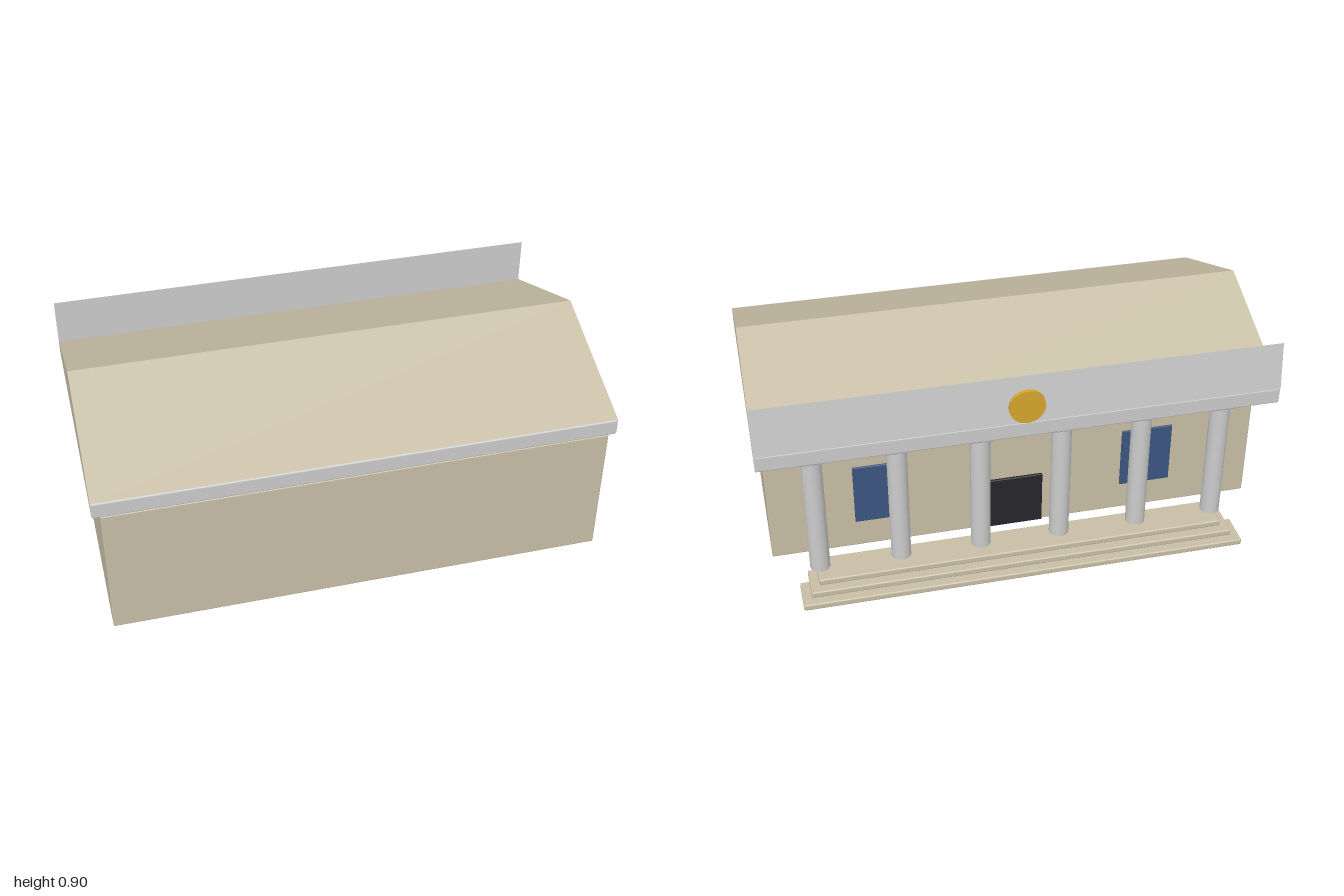
import * as THREE from 'three';
import { RoundedBoxGeometry } from 'three/addons/geometries/RoundedBoxGeometry.js';

const stone = new THREE.MeshStandardMaterial({ color: 0xc8bea6 });
const grey = new THREE.MeshStandardMaterial({ color: 0xcccccc });
const gold = new THREE.MeshStandardMaterial({ color: 0xd4a52e });
const glass = new THREE.MeshStandardMaterial({ color: 0x3a5580 });
const dark = new THREE.MeshStandardMaterial({ color: 0x25252b });

export function createModel() {
  const model = new THREE.Group();
  model.name = 'columnedHall';

  const add = (name, geometry, material, parent = model) => {
    const mesh = new THREE.Mesh(geometry, material);
    mesh.name = name;
    parent.add(mesh);
    return mesh;
  };

  // Softly bevelled block given by its extents on each axis
  const block = (name, [x0, x1], [y0, y1], [z0, z1], material, parent) => {
    const size = [x1 - x0, y1 - y0, z1 - z0];
    const bevel = Math.min(0.006, Math.min(...size) * 0.3);
    const mesh = add(name, new RoundedBoxGeometry(...size, 2, bevel), material, parent);
    mesh.position.set((x0 + x1) / 2, (y0 + y1) / 2, (z0 + z1) / 2);
    return mesh;
  };

  // Triangle of [z, y] points extruded along the full width
  const prism = (name, points, material) => {
    const shape = new THREE.Shape(points.map(([z, y]) => new THREE.Vector2(-z, y)));
    const geometry = new THREE.ExtrudeGeometry(shape, { depth: 2, bevelEnabled: false });
    geometry.translate(0, 0, -1).rotateY(Math.PI / 2);
    return add(name, geometry, material);
  };

  // Main hall, entablature and gable roof
  block('walls', [-0.97, 0.97], [0.08, 0.62], [-0.335, 0.582], stone);
  block('entablature', [-1, 1], [0.62, 0.685], [-0.503, 0.584], grey);
  prism('roof', [[0.58, 0.684], [-0.5, 0.684], [0.053, 0.9]], stone);

  // Thin wedge parapet above the colonnade, with a round gold emblem
  prism('parapet', [[-0.48, 0.684], [-0.503, 0.684], [-0.48, 0.876]], grey);
  const emblem = add('emblem', new THREE.CylinderGeometry(0.069, 0.069, 0.016, 32), gold);
  emblem.rotation.x = Math.PI / 2;
  emblem.position.set(0, 0.763, -0.513);

  // Three overlapping steps
  for (let i = 0; i < 3; i++) {
    const w = 0.88 - i * 0.035;
    const z = -0.583 + i * 0.035;
    const y = i * 0.027;
    block('step', [-w, w], [y, y + 0.026], [z, z + 0.138], stone);
  }

  // Six columns with square capitals
  for (let i = 0; i < 6; i++) {
    const column = new THREE.Group();
    column.name = 'column';
    column.position.set(-0.795 + i * 0.318, 0, -0.424);
    const shaft = add('shaft', new THREE.CylinderGeometry(0.039, 0.039, 0.52, 24), grey, column);
    shaft.position.y = 0.34;
    block('capital', [-0.051, 0.051], [0.596, 0.62], [-0.051, 0.051], grey, column);
    model.add(column);
  }

  // Door and windows on the colonnade wall
  block('door', [-0.11, 0.11], [0.082, 0.31], [-0.345, -0.33], dark);
  for (const side of [-1, 1]) {
    const x = side * 0.535;
    block('window', [x - 0.103, x + 0.103], [0.2, 0.46], [-0.342, -0.33], glass);
  }

  return model;
}
